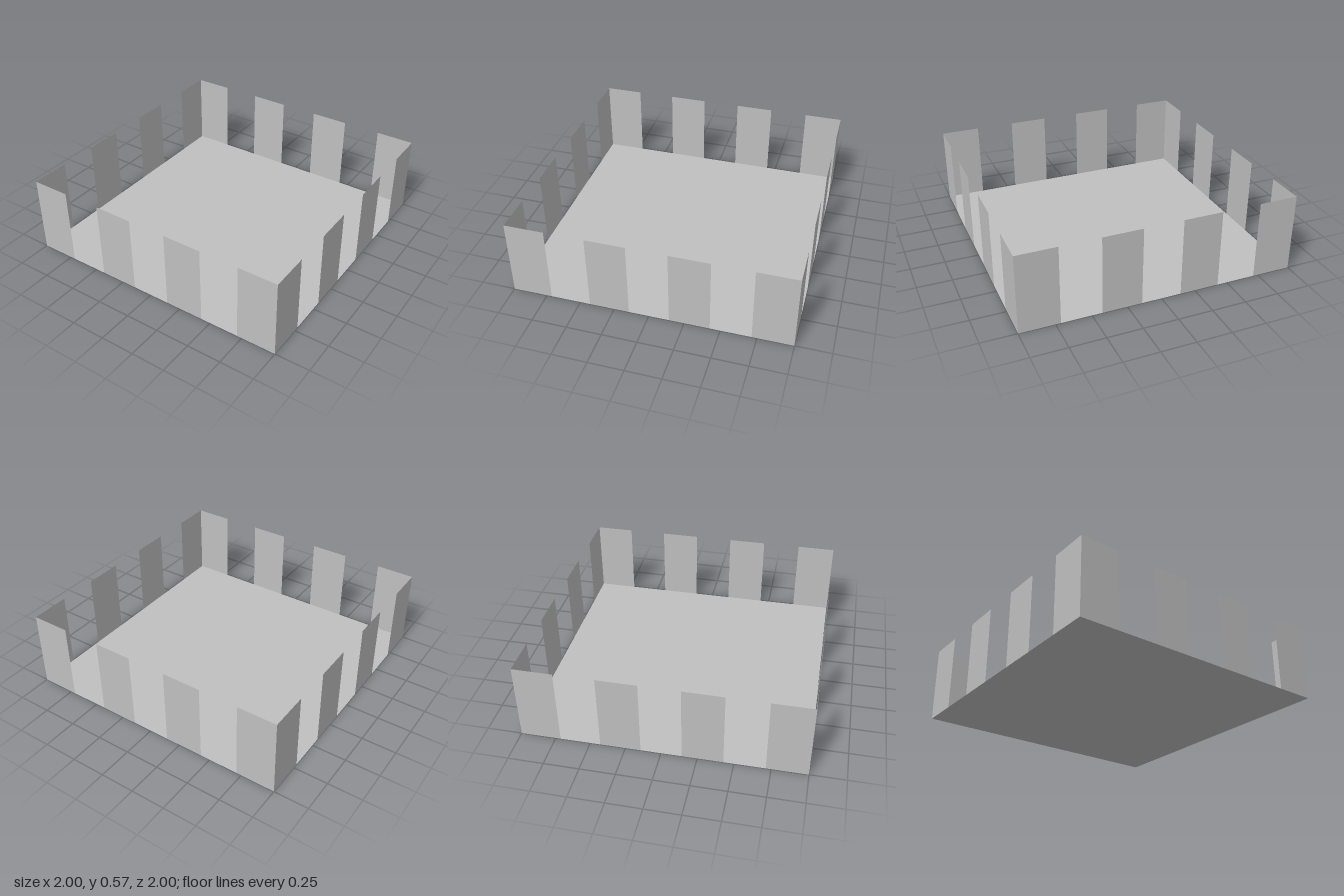
import * as THREE from 'three';

const SIZE = 2;
const PANEL_W = SIZE / 7; // four panels and three equal gaps per side
const PANEL_H = PANEL_W * 2;

export function createModel() {
  const model = new THREE.Group();
  model.name = 'crenellatedTray';

  const grey = new THREE.MeshStandardMaterial({ color: 0xc0c0c0, side: THREE.DoubleSide });
  grey.name = 'light grey';

  // Flat square floor
  const floor = new THREE.Mesh(new THREE.PlaneGeometry(SIZE, SIZE).rotateX(-Math.PI / 2), grey);
  floor.name = 'floor';
  model.add(floor);

  // Four sides of upright paper-thin panels standing on the floor's edges
  const panelGeometry = new THREE.PlaneGeometry(PANEL_W, PANEL_H);
  ['front', 'left', 'back', 'right'].forEach((side, s) => {
    const wall = new THREE.Group();
    wall.name = side + 'Wall';
    for (let i = 0; i < 4; i++) {
      const panel = new THREE.Mesh(panelGeometry, grey);
      panel.name = side + 'Panel' + (i + 1);
      panel.position.set((i * 2 - 3) * PANEL_W, PANEL_H / 2, SIZE / 2);
      wall.add(panel);
    }
    wall.rotation.y = s * Math.PI / 2;
    model.add(wall);
  });

  return model;
}
